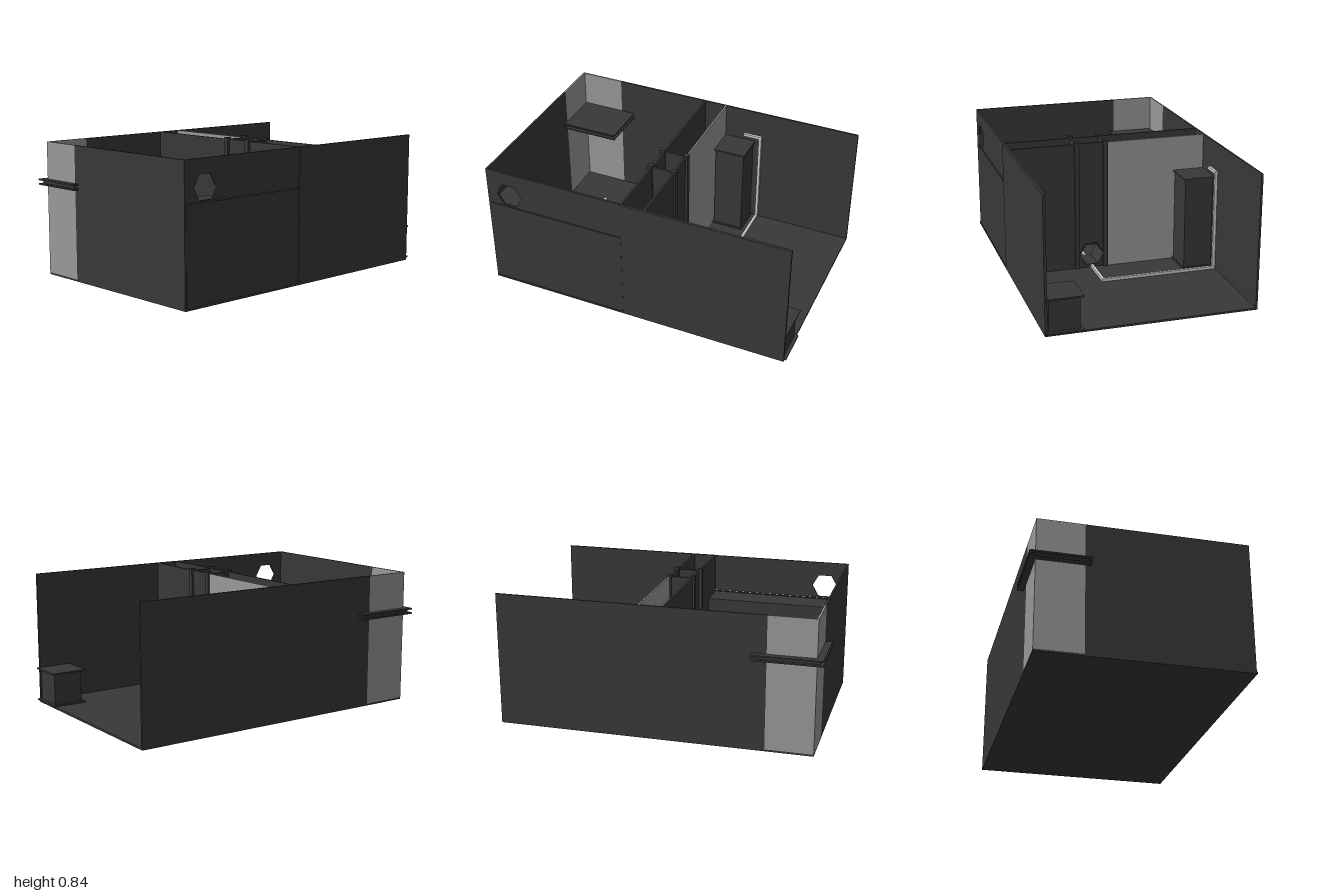
import * as THREE from 'three';

const mat = (color) => new THREE.MeshStandardMaterial({ color, flatShading: true });

export function createModel() {
  const model = new THREE.Group();
  const dark = mat(0x383838), glass = mat(0x999999), light = mat(0xcccccc);
  dark.side = THREE.DoubleSide;

  const add = (name, geometry, material = dark) => {
    const mesh = new THREE.Mesh(geometry, material);
    mesh.name = name;
    model.add(mesh);
    return mesh;
  };
  // Box given by its extents along each axis
  const box = (name, x0, x1, y0, y1, z0, z1, material) => {
    const m = add(name, new THREE.BoxGeometry(x1 - x0, y1 - y0, z1 - z0), material);
    m.position.set((x0 + x1) / 2, (y0 + y1) / 2, (z0 + z1) / 2);
    return m;
  };
  // Upright panel in the XY plane with a hexagonal opening
  const hexPoints = (cx, cy, r) => Array.from({ length: 6 }, (_, i) =>
    new THREE.Vector2(cx + r * Math.cos(i * Math.PI / 3), cy + r * Math.sin(i * Math.PI / 3)));
  const hexPanel = (name, x0, x1, y0, y1, cx, cy, r, depth) => {
    const shape = new THREE.Shape([
      new THREE.Vector2(x0, y0), new THREE.Vector2(x1, y0),
      new THREE.Vector2(x1, y1), new THREE.Vector2(x0, y1)]);
    shape.holes.push(new THREE.Path(hexPoints(cx, cy, r).reverse()));
    return add(name, new THREE.ExtrudeGeometry(shape, { depth, bevelEnabled: false }));
  };
  // Square-section run through axis-aligned points
  const run = (name, pts, w = 0.018) => {
    for (let i = 1; i < pts.length; i++) {
      const a = pts[i - 1], b = pts[i];
      const e = [0, 1, 2].map((k) => [Math.min(a[k], b[k]) - w / 2, Math.max(a[k], b[k]) + w / 2]);
      box(name, ...e[0], ...e[1], ...e[2], light);
    }
  };
  // Cabinet core between two overhanging plates
  const cabinet = (name, x0, x1, y0, y1, z0, z1, inset, plate) => {
    box(name + 'Core', x0 + inset, x1 - inset, y0 + plate, y1 - plate, z0 + inset, z1 - inset);
    box(name + 'Base', x0, x1, y0, y0 + plate, z0, z1);
    box(name + 'Top', x0, x1, y1 - plate, y1, z0, z1);
  };

  const H = 0.83;
  box('floor', -0.62, 0.655, 0, 0.012, -0.985, 0.96);

  // Outer walls, with a glazed front corner
  box('frontWall', -0.335, 0.65, 0.012, H, 0.948, 0.96);
  box('frontGlass', -0.62, -0.335, 0.012, H, 0.948, 0.96, glass);
  box('rightGlass', -0.62, -0.61, 0.012, H, 0.67, 0.948, glass);
  box('rightWall', -0.62, -0.608, 0.012, H, -0.985, 0.67);
  box('leftRearWall', 0.64, 0.655, 0.012, H, -0.985, 0.06);
  box('leftLowerPanel', 0.638, 0.652, 0.012, 0.585, 0.062, 0.948);
  const windowPanel = hexPanel('leftWindowPanel', -0.948, -0.062, 0.59, H, -0.81, 0.67, 0.083, 0.012);
  windowPanel.rotation.y = Math.PI / 2;
  windowPanel.position.x = 0.638;

  // Partitions either side of the narrow cavity
  const doorL = 0.04, doorR = 0.225, doorX = 0.13;
  box('frontPartition', -0.608, doorL, 0.012, H, 0.05, 0.062);
  box('frontPartition', doorR, 0.64, 0.012, H, 0.05, 0.062);
  box('rearPartitionGlass', -0.608, doorL, 0.012, H, -0.097, -0.087, glass);
  box('rearPartition', doorR, 0.64, 0.012, H, -0.097, -0.085);

  // Doorway: posts, cross walls, pierced doors and a hexagonal passage
  for (const x of [doorL, doorR]) {
    box('doorCrossWall', x - 0.006, x + 0.006, 0.012, H, -0.08, 0.05);
    for (const z of [0.062, -0.092]) box('doorPost', x - 0.015, x + 0.015, 0.012, 0.842, z - 0.015, z + 0.015);
  }
  for (const z of [0.046, -0.092]) {
    hexPanel('door', doorL, doorR, 0.012, H, doorX, 0.1, 0.08, 0.012).position.z = z;
  }
  const ring = new THREE.Shape(hexPoints(doorX, 0.1, 0.083));
  ring.holes.push(new THREE.Path(hexPoints(doorX, 0.1, 0.076).reverse()));
  add('passage', new THREE.ExtrudeGeometry(ring, { depth: 0.17, bevelEnabled: false })).position.z = -0.1;

  // Fittings
  box('counter', 0.45, 0.638, 0.012, 0.58, 0.062, 0.948);
  cabinet('rearCabinet', 0.43, 0.653, 0.014, 0.228, -1, -0.775, 0.02, 0.01);
  cabinet('partitionCabinet', -0.608, -0.41, 0.012, 0.61, -0.305, -0.097, 0.008, 0.01);
  cabinet('cornerPlatform', -0.66, -0.302, 0.563, 0.6, 0.58, 1, 0.02, 0.009);

  // Light pipe runs along the floor and up the wall
  run('rearPipe', [[-0.598, 0.65, -0.24], [-0.598, 0.65, -0.345], [-0.598, 0.022, -0.345],
    [doorX, 0.022, -0.345], [doorX, 0.022, 0.19], [0.32, 0.022, 0.19]]);
  run('frontPipe', [[-0.365, 0.022, 0.485], [-0.28, 0.022, 0.485], [-0.28, 0.022, 0.685], [-0.34, 0.022, 0.685]]);

  return model;
}
